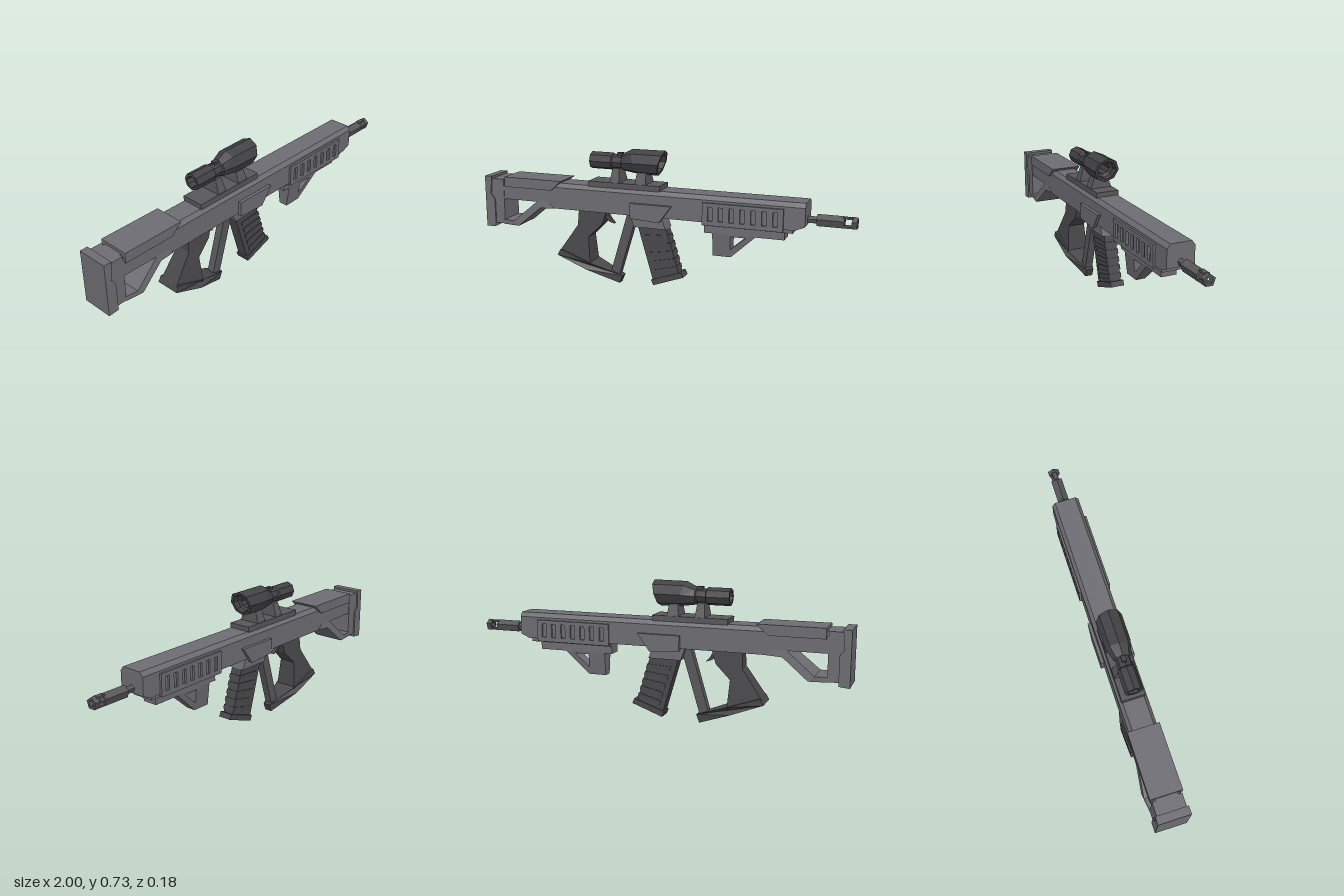
import * as THREE from 'three';

const mat = (name, color) => {
  const m = new THREE.MeshStandardMaterial({ color });
  m.name = name;
  return m;
};

export function createModel() {
  const body = mat('body grey', 0x6e6d73);
  const mid = mat('mount grey', 0x58575b);
  const dark = mat('dark grey', 0x49494c);
  const optic = mat('optic grey', 0x434346);
  const model = new THREE.Group();

  const add = (name, geo, material) => {
    const g = geo.index ? geo.toNonIndexed() : geo;
    g.computeVertexNormals();
    const mesh = new THREE.Mesh(g, material);
    mesh.name = name;
    model.add(mesh);
    return mesh;
  };

  // Side outline with its half width given as a number or a rule of (x, y)
  const plate = (name, pts, width, material, holes = [], z = 0) => {
    const shape = new THREE.Shape(pts.map(p => new THREE.Vector2(...p)));
    for (const h of holes) shape.holes.push(new THREE.Path(h.map(p => new THREE.Vector2(...p))));
    const geo = new THREE.ExtrudeGeometry(shape, { depth: 2, bevelEnabled: false });
    const pos = geo.attributes.position;
    for (let i = 0; i < pos.count; i++) {
      const w = typeof width === 'number' ? width : width(pos.getX(i), pos.getY(i));
      pos.setZ(i, (pos.getZ(i) - 1) * w + z);
    }
    return add(name, geo, material);
  };

  const rect = (x0, x1, y0, y1) => [[x0, y0], [x1, y0], [x1, y1], [x0, y1]];
  const box = (name, x0, x1, y0, y1, w, material) => plate(name, rect(x0, x1, y0, y1), w, material);

  // Faceted solid joining matching convex rings, listed along +x
  const loft = (name, rings, material) => {
    const n = rings[0].length, idx = [];
    for (let r = 0; r < rings.length - 1; r++) {
      for (let i = 0; i < n; i++) {
        const a = r * n + i, b = r * n + (i + 1) % n;
        idx.push(a, a + n, b, b, a + n, b + n);
      }
    }
    const last = (rings.length - 1) * n;
    for (let i = 1; i < n - 1; i++) {
      idx.push(0, i, i + 1, last, last + i + 1, last + i);
    }
    const geo = new THREE.BufferGeometry();
    geo.setAttribute('position', new THREE.Float32BufferAttribute(rings.flat(2), 3));
    geo.setIndex(idx);
    // Turn the faces outward if the enclosed volume is negative
    let vol = 0;
    const p = rings.flat().map(v => new THREE.Vector3(...v));
    for (let i = 0; i < idx.length; i += 3) {
      vol += p[idx[i]].dot(p[idx[i + 1]].clone().cross(p[idx[i + 2]]));
    }
    if (vol < 0) geo.setIndex(idx.reverse());
    return add(name, geo, material);
  };

  // Faceted tube along x from a closed [x, radius] profile
  const tube = (name, profile, sides, y, material) => {
    const pts = profile.map(([x, r]) => new THREE.Vector2(r, x));
    const geo = new THREE.LatheGeometry(pts, sides, -Math.PI / 2);
    geo.rotateZ(-Math.PI / 2);
    geo.translate(0, y, 0);
    return add(name, geo, material);
  };

  // Long main body with chamfered top edges and a sloping lower nose
  const ring = (x, bottom) => [
    [x, bottom, 0.072], [x, 0.512, 0.072], [x, 0.534, 0.055],
    [x, 0.534, -0.055], [x, 0.512, -0.072], [x, bottom, -0.072],
  ];
  loft('mainBody', [ring(-0.9, 0.425), ring(-0.7, 0.425), ring(-0.65, 0.397), ring(0.71, 0.397), ring(0.76, 0.418)], body);
  box('lowerNose', 0.24, 0.7, 0.378, 0.4, 0.06, body);

  // Stock
  plate('buttPlate', [[-1, 0.265], [-0.945, 0.27], [-0.945, 0.42], [-0.968, 0.45], [-0.958, 0.547], [-1, 0.547]], 0.083, body);
  box('stockPost', -0.97, -0.89, 0.287, 0.534, 0.075, body);
  plate('stockStrut',
    [[-0.9, 0.285], [-0.8, 0.285], [-0.67, 0.392], [-0.59, 0.397], [-0.62, 0.427],
      [-0.69, 0.427], [-0.83, 0.31], [-0.9, 0.31]],
    (x, y) => x < -0.86 ? 0.075 : 0.072 + (0.427 - y) * 0.11, body);
  plate('cheekPad', [[-0.88, 0.495], [-0.6, 0.495], [-0.54, 0.549], [-0.88, 0.549]], 0.082, body);

  // Magazine well: side panels and collar
  for (const s of [1, -1]) {
    plate('wellPanel', [[-0.145, 0.385], [0.015, 0.375], [0.08, 0.465], [-0.145, 0.465]], 0.01, body, [], s * 0.079);
  }
  plate('wellCollar', [[-0.14, 0.33], [0.035, 0.33], [0.01, 0.4], [-0.165, 0.4]], 0.045, body);

  // Vented side panels
  const slots = [];
  for (let i = 0; i < 7; i++) {
    const x = 0.284 + i * 0.0553;
    slots.push(rect(x - 0.012, x + 0.012, 0.408, 0.48));
  }
  for (const s of [1, -1]) {
    plate('ventPanel', rect(0.243, 0.655, 0.385, 0.5), 0.006, body, slots, s * 0.077);
  }

  // Lower rail and front hand stop with a triangular opening
  box('lowerRail', 0.243, 0.655, 0.335, 0.387, 0.04, body);
  plate('handStop', [[0.285, 0.215], [0.38, 0.215], [0.51, 0.336], [0.285, 0.336]],
    (x, y) => 0.025 + (y - 0.215) * 0.12, body,
    [[[0.378, 0.325], [0.378, 0.255], [0.458, 0.325]]]);

  // Muzzle: barrel and five-sided tip with a cross hole
  tube('barrel', [[0.74, 0.001], [0.74, 0.018], [0.82, 0.018], [0.82, 0.001]], 5, 0.442, mid);
  const tip = (x0, x1) => tube('muzzleTip',
    [[x0, 0.017], [x0, 0.031], [x1, 0.031], [x1, 0.017], [x0, 0.017]], 5, 0.442, mid);
  tip(0.805, 0.938);
  tip(0.974, 1);
  box('muzzleBridge', 0.93, 0.98, 0.46, 0.469, 0.012, mid);
  box('muzzleBridge', 0.93, 0.98, 0.417, 0.426, 0.018, mid);

  // Rear grip with flared foot and front guard bar
  plate('grip',
    [[-0.46, 0.4], [-0.465, 0.31], [-0.57, 0.16], [-0.39, 0.1], [-0.402, 0.25], [-0.325, 0.325], [-0.3, 0.4]],
    (x, y) => 0.034 + (0.4 - y) * 0.08, dark);
  plate('gripBase',
    [[-0.58, 0.138], [-0.41, 0.072], [-0.235, 0.004], [-0.218, 0.047], [-0.395, 0.112], [-0.562, 0.17]],
    x => x < -0.37 ? 0.065 : 0.02, dark);
  plate('guardBar', [[-0.285, 0.06], [-0.238, 0.045], [-0.14, 0.37], [-0.155, 0.4], [-0.185, 0.4]], 0.02, mid);
  plate('trigger',
    [[-0.335, 0.4], [-0.318, 0.36], [-0.295, 0.337], [-0.265, 0.328], [-0.285, 0.35], [-0.298, 0.372], [-0.3, 0.4]],
    0.012, dark);

  // Slanted magazine with ribs
  const a = [-0.125, 0.34], b = [0.03, 0.34], c = [0.105, 0.09], d = [-0.038, 0.04];
  const lerp = (p, q, t) => [p[0] + (q[0] - p[0]) * t, p[1] + (q[1] - p[1]) * t];
  plate('magazine', [a, d, c, b], 0.031, dark);
  for (let i = 0; i < 5; i++) {
    const t = 0.17 + i * 0.16;
    const l0 = lerp(a, d, t), l1 = lerp(a, d, t + 0.09);
    const r0 = lerp(b, c, t), r1 = lerp(b, c, t + 0.09);
    plate('magazineRib', [lerp(l0, r0, 0.18), lerp(l1, r1, 0.18), lerp(l1, r1, 1.02), lerp(l0, r0, 1.02)], 0.035, dark);
  }
  plate('magazineBase', [[-0.048, 0.048], [-0.036, 0.02], [0.13, 0.08], [0.118, 0.106]], 0.037, dark);

  // Sight mount
  box('sightRail', -0.39, 0.01, 0.53, 0.559, 0.06, mid);
  const post = (x0, x1) => plate('sightPost',
    [[x0 - 0.008, 0.555], [x1 + 0.008, 0.555], [x1, 0.63], [x0, 0.63]],
    (x, y) => y < 0.6 ? 0.058 : 0.033, mid);
  post(-0.262, -0.224);
  post(-0.122, -0.076);

  // Hollow eight-sided sight, its front rim raked back toward the bottom
  const sight = tube('sight', [
    [-0.39, 0.031], [-0.39, 0.045], [-0.27, 0.045], [-0.265, 0.038], [-0.215, 0.038], [-0.21, 0.046],
    [-0.14, 0.065], [0, 0.066], [0, 0.05], [-0.03, 0.046], [-0.04, 0.031], [-0.39, 0.031],
  ], 8, 0.668, optic);
  const pos = sight.geometry.attributes.position;
  for (let i = 0; i < pos.count; i++) {
    const x = pos.getX(i), y = pos.getY(i);
    if (x > -0.05) pos.setX(i, x + (y - 0.668) * 0.28);
    else if (x > -0.15) pos.setX(i, x - (y - 0.668) * 0.3);
    if (x < -0.2) pos.setY(i, y - 0.006);
  }
  sight.geometry.computeVertexNormals();
  box('sightKnob', -0.245, -0.215, 0.69, 0.71, 0.012, optic);

  return model;
}
